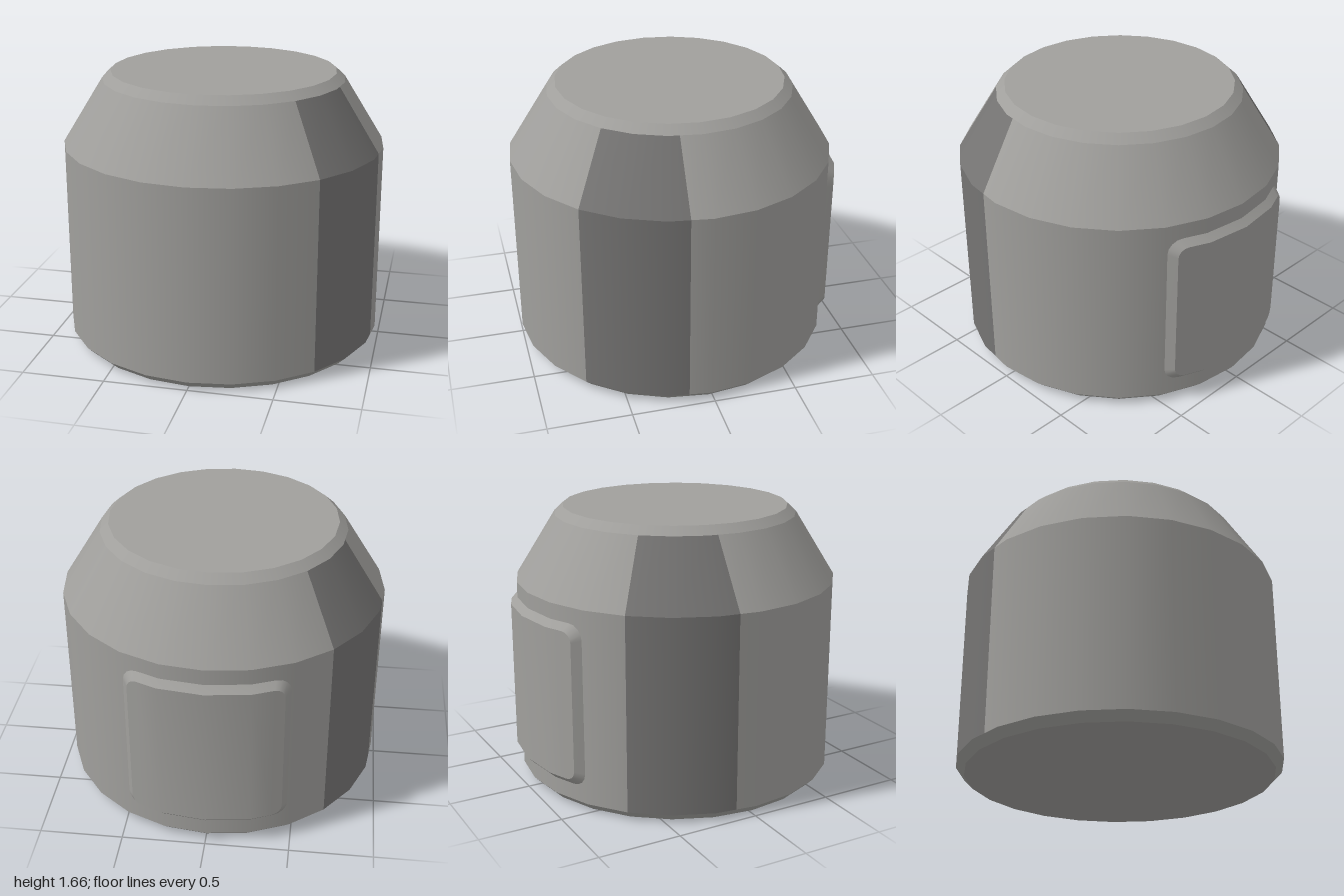
import * as THREE from 'three';

const STEP = Math.PI / 12; // 24-sided body
const SPLIT = 0.127; // depth of the straight stripe edge
const CENTRE_Z = 0.02;

// Evenly spaced directions, plus one extra point per half turn for the stripe edge
function ringPoint(i, r) {
  const half = Math.floor(i / 13) * Math.PI;
  const k = i % 13;
  if (k === 1) {
    const t = SPLIT / (r * Math.sin(STEP));
    const x = r * (1 - t + t * Math.cos(STEP));
    const s = half ? -1 : 1;
    const a = Math.atan2(t * Math.sin(STEP), 1 - t + t * Math.cos(STEP)) + half;
    return { x: s * x, z: s * SPLIT, a };
  }
  const a = half + (k === 0 ? 0 : k - 1) * STEP;
  return { x: r * Math.cos(a), z: r * Math.sin(a), a };
}

const inStripe = (i) => i % 13 >= 1 && i % 13 <= 3;

// Bands between successive [radius, height] rings, smooth round and creased between bands
function bands(profile, keep) {
  const pos = [], nor = [], index = [];
  for (let b = 0; b < profile.length - 1; b++) {
    const [r0, y0] = profile[b], [r1, y1] = profile[b + 1];
    const len = Math.hypot(y1 - y0, r0 - r1);
    const nr = (y1 - y0) / len, ny = (r0 - r1) / len;
    for (let i = 0; i < 26; i++) {
      if (!keep(i, b)) continue;
      const n = pos.length / 3;
      for (const [j, r, y] of [[i, r0, y0], [i + 1, r0, y0], [i + 1, r1, y1], [i, r1, y1]]) {
        const p = ringPoint(j % 26, r);
        pos.push(p.x, y, p.z);
        nor.push(nr * Math.cos(p.a), ny, nr * Math.sin(p.a));
      }
      index.push(n, n + 3, n + 1, n + 1, n + 3, n + 2);
    }
  }
  const g = new THREE.BufferGeometry();
  g.setAttribute('position', new THREE.Float32BufferAttribute(pos, 3));
  g.setAttribute('normal', new THREE.Float32BufferAttribute(nor, 3));
  g.setIndex(index);
  return g;
}

// Depth of the faceted wall of radius R at a given x, on the back side
function wallZ(x, R) {
  const k = Math.floor(Math.asin(Math.abs(x) / R) / STEP + 1e-6);
  const xa = R * Math.sin(k * STEP), xb = R * Math.sin((k + 1) * STEP);
  const za = R * Math.cos(k * STEP), zb = R * Math.cos((k + 1) * STEP);
  return -(za + (zb - za) * (Math.abs(x) - xa) / (xb - xa));
}

// Upper then lower edge of a rounded rectangle wrapped on the wall
function panelEdges(halfW, halfH, corner, R) {
  const midY = 0.64, cols = [];
  const arc = [0, 1, 2, 3, 4].map((i) => {
    const a = (i / 4) * Math.PI / 2;
    return [-halfW + corner * (1 - Math.cos(a)), halfH - corner * (1 - Math.sin(a))];
  });
  cols.push(...arc);
  for (const k of [-1, 0, 1]) cols.push([R * Math.sin(k * STEP), halfH]);
  cols.push(...arc.map(([x, y]) => [-x, y]).reverse());
  const edge = (s) => cols.map(([x, y]) => [x, midY + s * y, wallZ(x, R)]);
  return { top: edge(1), bottom: edge(-1) };
}

// Surface between two matching rows of points
function strip(a, b, closed) {
  const n = a.length, index = [];
  for (let i = 0; i < (closed ? n : n - 1); i++) {
    const j = (i + 1) % n;
    index.push(i, j, n + i, j, n + j, n + i);
  }
  const g = new THREE.BufferGeometry();
  g.setAttribute('position', new THREE.Float32BufferAttribute([...a, ...b].flat(), 3));
  g.setIndex(index);
  g.computeVertexNormals();
  return g;
}

export function createModel() {
  const model = new THREE.Group();
  const light = new THREE.MeshStandardMaterial({ color: 0xa09f9c });
  light.name = 'light grey';
  const dark = new THREE.MeshStandardMaterial({ color: 0x757473 });
  dark.name = 'dark grey';
  const add = (name, geometry, material) => {
    const mesh = new THREE.Mesh(geometry, material);
    mesh.name = name;
    mesh.position.z = CENTRE_Z;
    model.add(mesh);
    return mesh;
  };

  // Body with bevelled foot, straight wall, sloping shoulder and bevelled rim
  const profile = [[0.93, 0], [0.98, 0.05], [0.98, 1.225], [0.737, 1.617], [0.685, 1.665]];
  const striped = (i, b) => inStripe(i) && (b === 1 || b === 2);
  add('body', bands(profile, (i, b) => !striped(i, b)), light);
  add('sideStripes', bands(profile, striped), dark);

  // Flat ends
  add('top', new THREE.CircleGeometry(0.685, 24).rotateX(-Math.PI / 2), light).position.y = 1.665;
  add('base', new THREE.CircleGeometry(0.93, 24).rotateX(Math.PI / 2), light);

  // Raised back panel with sloping rim
  const outer = panelEdges(0.445, 0.45, 0.06, 1.02);
  const inner = panelEdges(0.475, 0.49, 0.085, 0.98);
  const loop = (e) => [...e.top, ...[...e.bottom].reverse()];
  add('backPanel', strip(outer.top, outer.bottom, false), light);
  add('backPanelRim', strip(loop(inner), loop(outer), true), light);

  return model;
}
